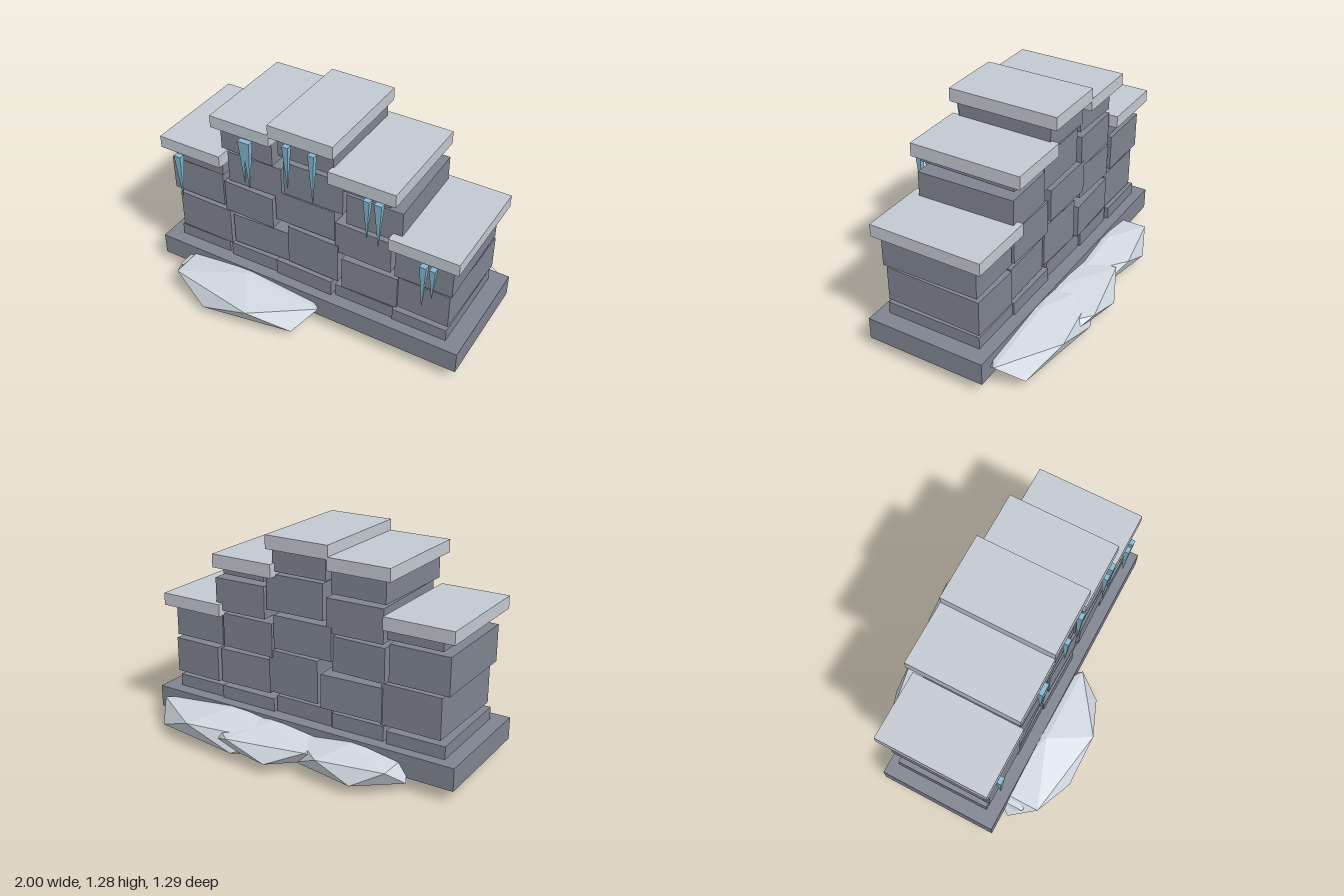
import * as THREE from 'three';
import { ConvexGeometry } from 'three/addons/geometries/ConvexGeometry.js';

const material = (name, color) => {
  const m = new THREE.MeshStandardMaterial({ color });
  m.name = name;
  return m;
};

export function createModel() {
  const stone = material('stone grey', 0x7f8490);
  const slab = material('pale slab', 0xc3c9d1);
  const snow = material('snow', 0xcfd6de);
  const ice = material('ice blue', 0x85b9d2);

  const model = new THREE.Group();
  model.name = 'ruinedWall';

  const add = (name, geometry, mat, x, y, z) => {
    const mesh = new THREE.Mesh(geometry, mat);
    mesh.name = name;
    mesh.position.set(x, y, z);
    model.add(mesh);
    return mesh;
  };

  // Box from its extents; a yawed box is narrowed so its outline still fits
  const box = (name, mat, x0, x1, y0, y1, z0, z1, yaw = 0) => {
    const depth = z1 - z0;
    const width = x1 - x0 - depth * Math.abs(Math.sin(yaw));
    const mesh = add(name, new THREE.BoxGeometry(width, y1 - y0, depth), mat,
      (x0 + x1) / 2, (y0 + y1) / 2, (z0 + z1) / 2);
    mesh.rotation.y = yaw;
  };

  // Plinth
  box('plinth', stone, -1, 1, 0.08, 0.215, -0.367, 0.367);

  // Wall columns: blocks as [x0, x1, y0, y1, yaw], then a cap [x0, x1, y0, y1]
  const columns = [
    { blocks: [
      [-0.915, -0.555, 0.2, 0.29, 0.01], [-0.885, -0.515, 0.31, 0.555, -0.01],
      [-0.925, -0.565, 0.575, 0.795, 0], [-0.88, -0.54, 0.81, 0.88, -0.01]],
    cap: [-0.96, -0.545, 0.88, 0.955] },
    { blocks: [
      [-0.535, -0.2, 0.2, 0.305, 0.01], [-0.525, -0.12, 0.325, 0.53, 0.035],
      [-0.55, -0.2, 0.555, 0.76, -0.025], [-0.525, -0.16, 0.78, 0.98, 0.02],
      [-0.545, -0.19, 1.0, 1.145, -0.02]],
    cap: [-0.585, -0.2, 1.145, 1.22] },
    { blocks: [
      [-0.205, 0.18, 0.2, 0.315, -0.015], [-0.125, 0.225, 0.335, 0.595, -0.025],
      [-0.205, 0.18, 0.615, 0.815, 0], [-0.14, 0.24, 0.835, 1.05, 0.01],
      [-0.175, 0.185, 1.07, 1.205, -0.01]],
    cap: [-0.205, 0.2, 1.205, 1.285] },
    { blocks: [
      [0.19, 0.565, 0.2, 0.295, 0], [0.23, 0.59, 0.315, 0.525, 0.02],
      [0.19, 0.55, 0.55, 0.755, -0.015], [0.245, 0.595, 0.775, 0.97, 0.02],
      [0.24, 0.54, 0.995, 1.04, -0.02]],
    cap: [0.17, 0.575, 1.04, 1.12] },
    { blocks: [
      [0.565, 0.9, 0.2, 0.29, 0], [0.585, 0.91, 0.315, 0.53, -0.015],
      [0.565, 0.915, 0.55, 0.745, 0.01]],
    cap: [0.54, 0.955, 0.745, 0.82] },
  ];
  columns.forEach(({ blocks, cap }, c) => {
    blocks.forEach(([x0, x1, y0, y1, yaw], r) => {
      const shift = ((c * 2 + r * 3) % 5 - 2) * 0.005;
      box('stoneBlock', stone, x0, x1, y0, y1, shift - 0.295, shift + 0.295, yaw);
    });
    box('capSlab', slab, ...cap, -0.342, 0.338);
  });

  // Icicles: [x, top, tip, width]
  const icicles = [
    [-0.83, 0.87, 0.575, 0.045], [-0.365, 1.135, 0.85, 0.045], [-0.335, 1.135, 0.82, 0.045],
    [-0.08, 1.2, 0.92, 0.038], [0.08, 1.2, 0.88, 0.038], [0.415, 1.035, 0.78, 0.038],
    [0.485, 1.035, 0.75, 0.045], [0.76, 0.735, 0.45, 0.04], [0.815, 0.735, 0.53, 0.036],
  ];
  for (const [x, top, tip, w] of icicles) {
    const geometry = new THREE.CylinderGeometry(w * Math.SQRT1_2, 0.002, top - tip, 4)
      .rotateY(Math.PI / 4).toNonIndexed();
    geometry.computeVertexNormals();
    add('icicle', geometry, ice, x, (top + tip) / 2, 0.345).scale.z = 0.036 / w;
  }

  // Faceted mounds: two staggered rings of five points between a peak and a foot
  const mound = (x, y, z, rx, ry, rz) => {
    const points = [new THREE.Vector3(0, ry, 0), new THREE.Vector3(0, -ry, 0)];
    for (let i = 0; i < 10; i++) {
      const a = i * Math.PI / 5;
      points.push(new THREE.Vector3(rx * Math.cos(a), ry * (i % 2 ? -0.48 : 0.5), rz * Math.sin(a)));
    }
    add('snowMound', new ConvexGeometry(points), snow, x, y, z);
  };
  mound(-0.36, 0.112, 0.4, 0.5, 0.103, 0.258);
  mound(-0.7, 0.11, 0.41, 0.13, 0.06, 0.095);
  mound(-0.39, 0.112, -0.4, 0.35, 0.095, 0.2);
  mound(0.15, 0.115, -0.4, 0.42, 0.088, 0.262);
  mound(0.43, 0.112, -0.4, 0.51, 0.108, 0.235);

  return model;
}
